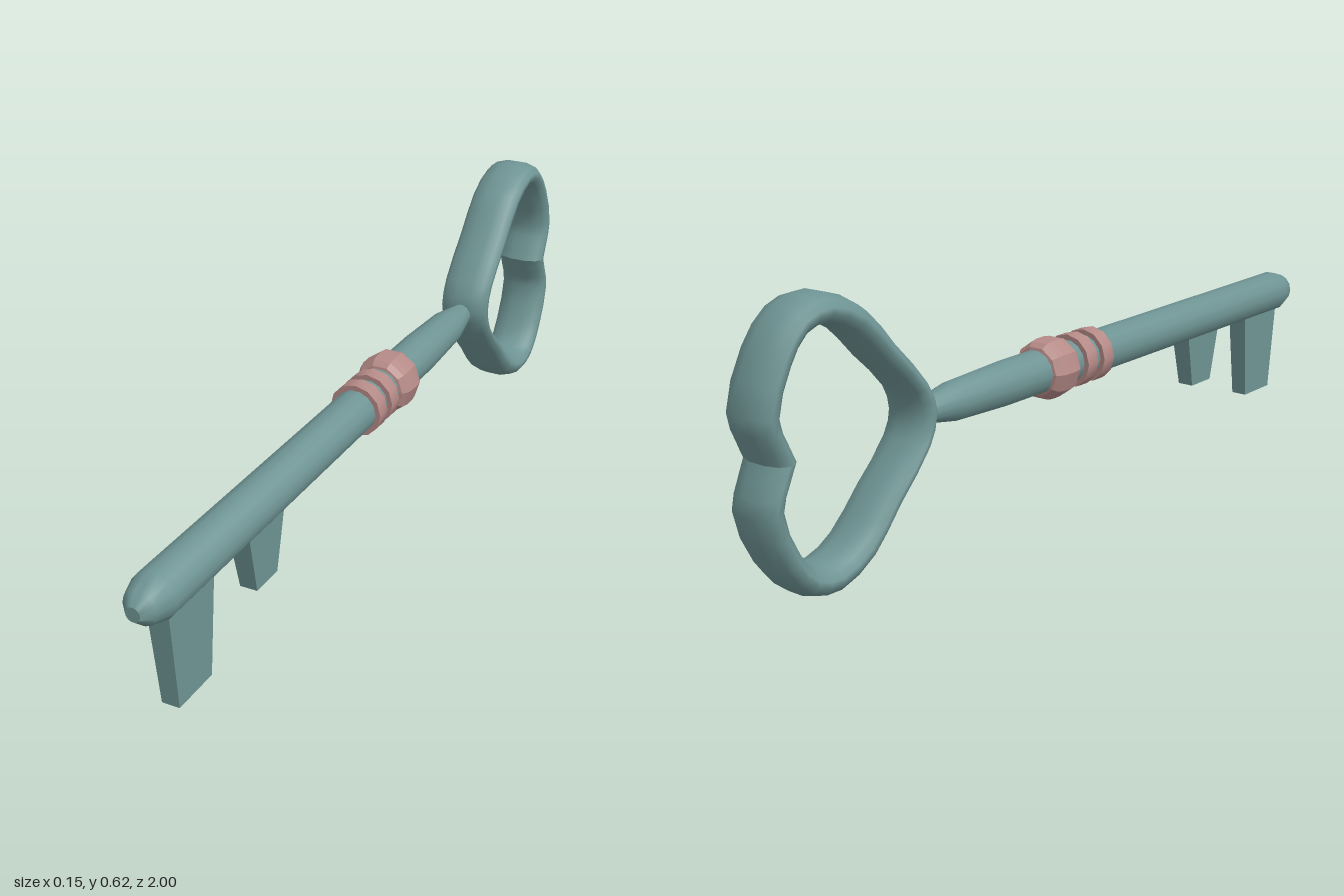
import * as THREE from 'three';
import { toCreasedNormals } from 'three/addons/utils/BufferGeometryUtils.js';

const AXIS_Y = 0.301;
const BOW_Y = 0.31;
const steel = new THREE.MeshStandardMaterial({ color: 0x6f9494 });
const copper = new THREE.MeshStandardMaterial({ color: 0xb58a87 });
const copperFlat = new THREE.MeshStandardMaterial({ color: 0xb58a87, flatShading: true });

// Solid of revolution around the key's long axis; profile is [radius, z] with z rising
function turned(name, profile, sides, material, crease) {
  const points = profile.map(([r, z]) => new THREE.Vector2(r, z));
  const lathe = new THREE.LatheGeometry(points, sides, Math.PI / 2);
  lathe.rotateX(Math.PI / 2);
  const mesh = new THREE.Mesh(toCreasedNormals(lathe, crease), material);
  mesh.name = name;
  mesh.position.y = AXIS_Y;
  return mesh;
}

// Tapered tooth: a box whose lower end is narrower
function tooth(name, z, top, bottom, yLow) {
  const yHigh = 0.28;
  const geometry = new THREE.BoxGeometry(1, 1, 1);
  const p = geometry.attributes.position;
  for (let i = 0; i < p.count; i++) {
    const upper = p.getY(i) > 0;
    p.setXYZ(i,
      0.008 + p.getX(i) * (upper ? 0.052 : 0.042),
      upper ? yHigh : yLow,
      z + p.getZ(i) * (upper ? top : bottom));
  }
  geometry.computeVertexNormals();
  const mesh = new THREE.Mesh(geometry, steel);
  mesh.name = name;
  return mesh;
}

// Heart-shaped bow: a flattened section swept between an outer and an inner outline
function heartBow() {
  // [outer z, outer y, inner z, inner y], from the notch over the upper lobe to the point
  const half = [
    [-0.965, 0, -0.9, 0],
    [-0.98, 0.035, -0.918, 0.038],
    [-1.0, 0.1, -0.938, 0.092],
    [-0.952, 0.225, -0.905, 0.182],
    [-0.885, 0.294, -0.865, 0.235],
    [-0.805, 0.31, -0.81, 0.245],
    [-0.703, 0.264, -0.745, 0.216],
    [-0.628, 0.18, -0.66, 0.132],
    [-0.532, 0.072, -0.58, 0.052],
    [-0.503, 0, -0.564, 0],
  ];
  const lower = half.slice(0, -1).reverse().map(([a, b, c, d]) => [a, -b, c, -d]);
  const controls = [...half, ...lower];
  const outer = new THREE.CatmullRomCurve3(controls.map(([z, y]) => new THREE.Vector3(0, y, z)));
  const inner = new THREE.CatmullRomCurve3(controls.map(([, , z, y]) => new THREE.Vector3(0, y, z)));

  // Section as [x, side], side running from +1 (outer) to -1 (inner) and back
  const quarter = [[0.02, 1], [0.05, 0.7], [0.063, 0.2]];
  const right = [...quarter, ...quarter.slice().reverse().map(([x, s]) => [x, -s])];
  const section = [...right, ...right.slice().reverse().map(([x, s]) => [-x, s])];

  const positions = [];
  const index = [];
  const n = section.length;
  const steps = 36;
  for (let k = 0; k <= steps; k++) {
    const o = outer.getPoint(k / steps);
    const i = inner.getPoint(k / steps);
    for (const [x, s] of section) {
      const p = o.clone().lerp(i, (1 - s) / 2);
      positions.push(x, BOW_Y + p.y, p.z);
    }
    if (k === 0) continue;
    for (let j = 0; j < n; j++) {
      const a = (k - 1) * n + j;
      const b = (k - 1) * n + (j + 1) % n;
      index.push(a, a + n, b, b, a + n, b + n);
    }
  }
  const geometry = new THREE.BufferGeometry();
  geometry.setAttribute('position', new THREE.Float32BufferAttribute(positions, 3));
  geometry.setIndex(index);
  geometry.computeVertexNormals();
  const mesh = new THREE.Mesh(geometry, steel);
  mesh.name = 'heartBow';
  return mesh;
}

export function createModel() {
  const key = new THREE.Group();
  key.name = 'key';

  // Shaft with a tapered neck and a blunt tip
  key.add(turned('shaft', [
    [0, -0.515], [0.026, -0.515], [0.045, -0.41], [0.052, -0.24],
    [0.054, 0.93], [0.04, 0.975], [0.017, 1], [0, 1],
  ], 14, steel, 0.8));

  // Two flat bands and the faceted bead
  for (const [name, z] of [['frontBand', 0.077], ['rearBand', 0.015]]) {
    key.add(turned(name, [
      [0.04, z - 0.019], [0.065, z - 0.019], [0.065, z + 0.019], [0.04, z + 0.019],
    ], 12, copper, 0.7));
  }
  key.add(turned('bead', [
    [0.045, -0.126], [0.06, -0.122], [0.07, -0.108], [0.073, -0.09],
    [0.073, -0.062], [0.07, -0.044], [0.06, -0.03], [0.045, -0.026],
  ], 10, copperFlat, 0.1));

  // Teeth
  key.add(tooth('largeTooth', 0.852, 0.165, 0.12, 0.03));
  key.add(tooth('smallTooth', 0.562, 0.15, 0.085, 0.12));

  key.add(heartBow());
  return key;
}
